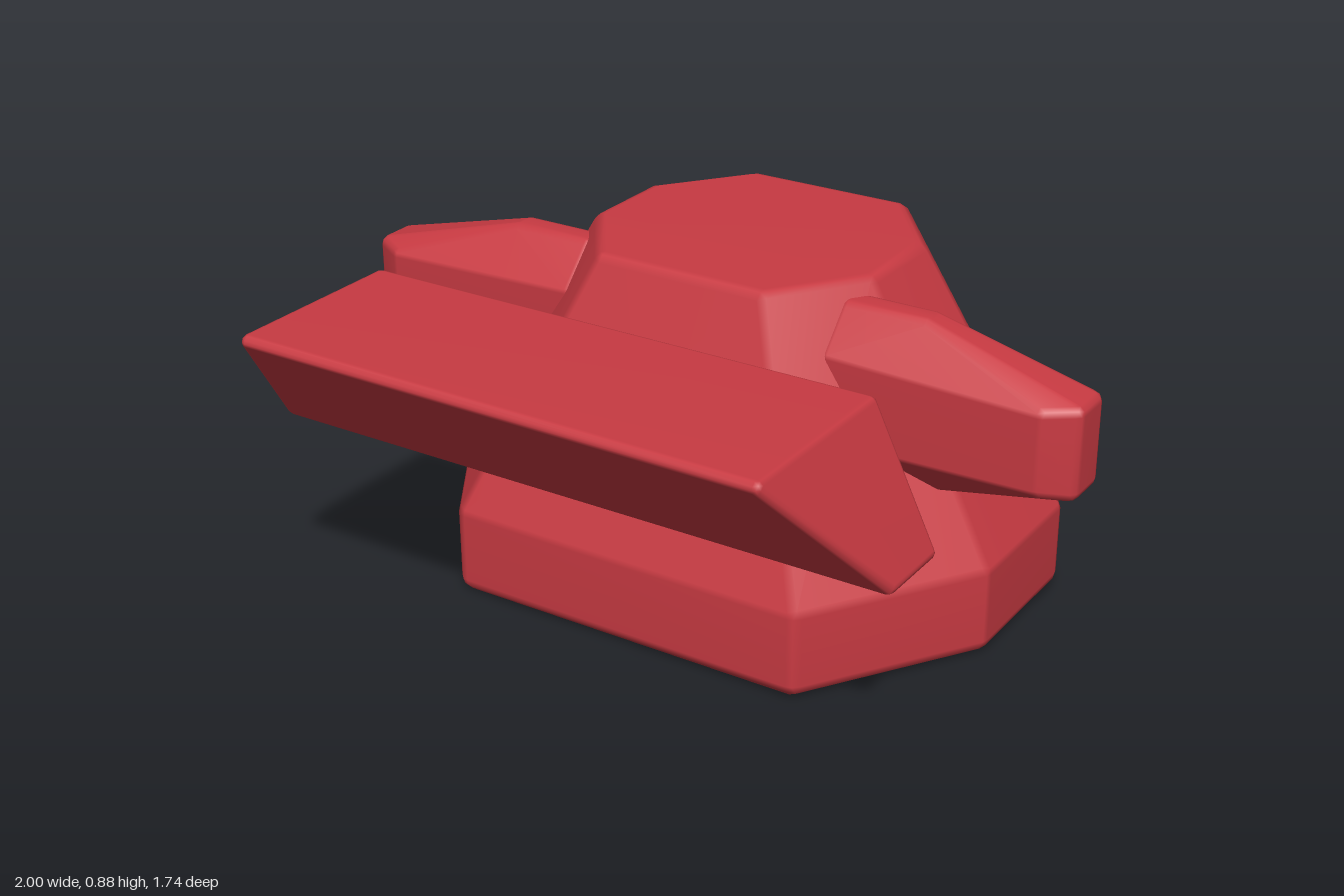
import * as THREE from 'three';
import { ConvexGeometry } from 'three/addons/geometries/ConvexGeometry.js';
import { mergeVertices } from 'three/addons/utils/BufferGeometryUtils.js';

// Convex solid with rounded edges: the hull of a small ball placed at each inset corner.
function roundedSolid(centres, r) {
  const ball = new THREE.OctahedronGeometry(r, 2);
  ball.deleteAttribute('normal');
  ball.deleteAttribute('uv');
  const p = mergeVertices(ball, 1e-5).attributes.position;
  const points = [];
  for (const [x, y, z] of centres) {
    for (let i = 0; i < p.count; i++) {
      points.push(new THREE.Vector3(x + p.getX(i), y + p.getY(i), z + p.getZ(i)));
    }
  }
  const hull = new ConvexGeometry(points);
  hull.deleteAttribute('normal');
  const geometry = mergeVertices(hull, 1e-5);
  geometry.computeVertexNormals();
  return geometry;
}

// Mirrors a list of points across x = 0.
const bothSides = (pts) => pts.flatMap(([x, y, z]) => [[x, y, z], [-x, y, z]]);

export function createModel() {
  const model = new THREE.Group();
  const red = new THREE.MeshStandardMaterial({ color: 0xc83a42 });
  const add = (name, geometry) => {
    const mesh = new THREE.Mesh(geometry, red);
    mesh.name = name;
    model.add(mesh);
    return mesh;
  };

  // Body: eight-sided base with upright walls, tapering to a smaller eight-sided top
  const r = 0.035;
  const ring = (y, inset, [bx, bz], [sx, sb, sf], [fx, fz]) => bothSides([
    [bx - 0.4 * inset, y, bz + inset],
    [sx - inset, y, sb + 0.4 * inset],
    [sx - inset, y, sf - 0.4 * inset],
    [fx - 0.4 * inset, y, fz - inset],
  ]);
  const base = [[0.41, -0.87], [0.77, -0.47], [0.48, 0.37]];
  const side = [0.77, -0.475, -0.06];
  add('body', roundedSolid([
    ...ring(r, r, base[0], side, base[2]),
    ...ring(0.225 - 0.26 * r, r, base[0], side, base[2]),
    ...ring(0.88 - r, 0.57 * r, [0.22, -0.615], [0.395, -0.39, -0.13], [0.23, 0.1]),
  ], r));

  // Side fins: flat at the back, chamfered towards the front, narrowing to the tip
  const f = 0.025;
  const finCorners = [
    // back outline
    [0.975, 0.525, -0.095], [0.975, 0.715, -0.095], [0.58, 0.815, -0.095],
    [0.375, 0.815, -0.095], [0.375, 0.435, -0.095], [0.62, 0.435, -0.095],
    // widest line, where the chamfer begins
    [0.975, 0.525, -0.01], [0.975, 0.715, -0.01], [0.58, 0.815, -0.06],
    [0.375, 0.815, -0.06], [0.375, 0.435, -0.06], [0.62, 0.435, -0.06],
    // front face
    [0.91, 0.53, 0.025], [0.91, 0.71, 0.025], [0.375, 0.725, 0.025],
    [0.375, 0.52, 0.025],
  ];
  for (const s of [1, -1]) {
    add(s > 0 ? 'leftFin' : 'rightFin',
      roundedSolid(finCorners.map(([x, y, z]) => [s * x, y, z]), f));
  }

  // Front bar: floating wedge, wider at the bottom and raked forward at the top
  const b = 0.018;
  add('frontBar', roundedSolid(bothSides([
    [0.68 - 0.6 * b, 0.838 - b, 0.37 + b],
    [0.68 - 0.6 * b, 0.838 - b, 0.875 - 1.5 * b],
    [0.84 - b, 0.488 + b, 0.37 + b],
    [0.84 - b, 0.488 + b, 0.57 - 0.4 * b],
  ]), b));

  return model;
}
